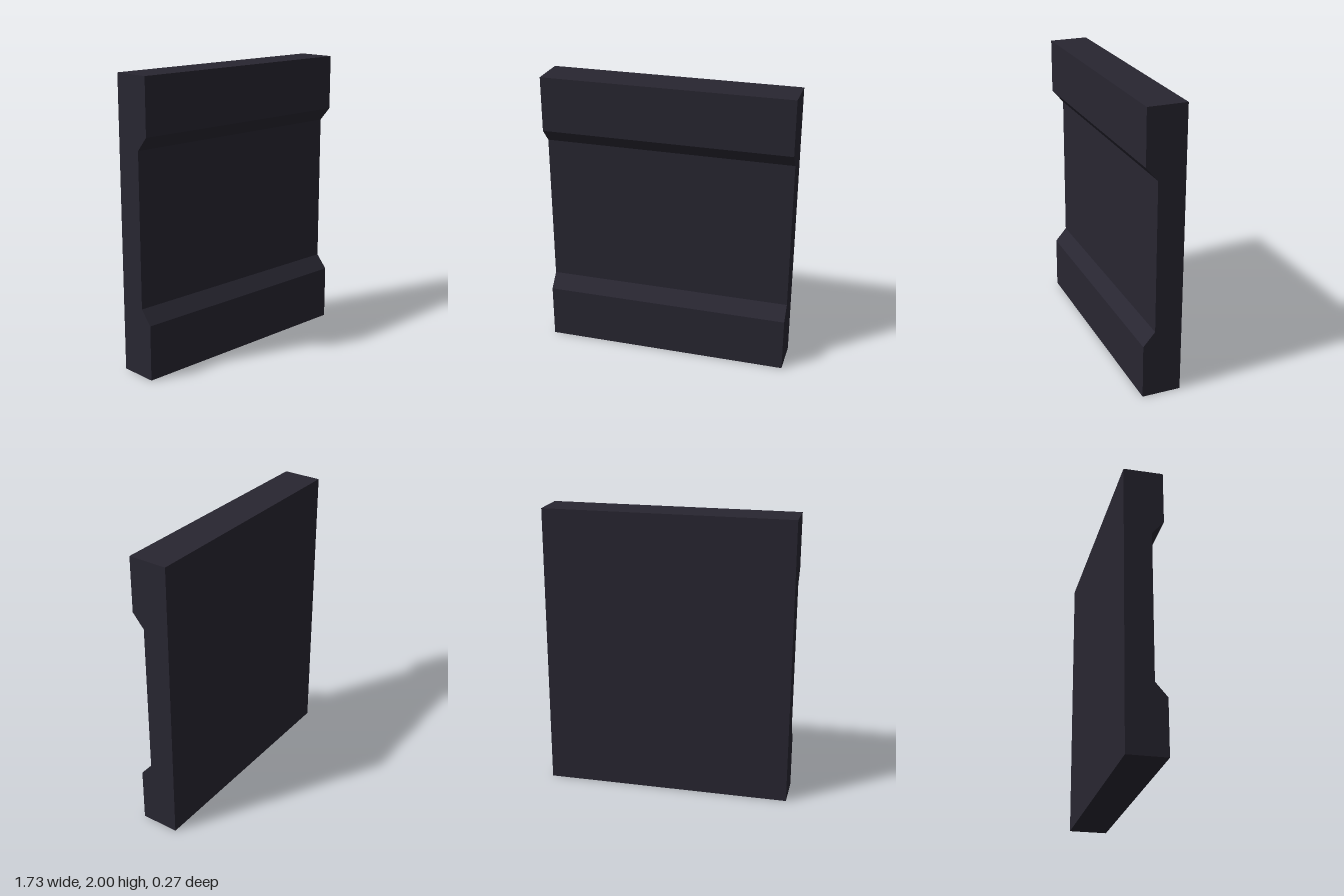
import * as THREE from 'three';

const WIDTH = 1.73;
const BACK = -0.135, FACE = 0.135, RECESS = 0.053;

export function createModel() {
  const group = new THREE.Group();
  group.name = 'recessedPanel';

  // Side profile (z, y): raised bands at top and bottom, bevelled into a recess
  const profile = new THREE.Shape([
    [BACK, 0], [FACE, 0], [FACE, 0.38], [RECESS, 0.475],
    [RECESS, 1.525], [FACE, 1.62], [FACE, 2], [BACK, 2],
  ].map(([z, y]) => new THREE.Vector2(z, y)));

  // Extrude across the width, then turn the profile to face +z
  const geometry = new THREE.ExtrudeGeometry(profile, { depth: WIDTH, bevelEnabled: false });
  geometry.translate(0, 0, -WIDTH / 2);
  geometry.rotateY(-Math.PI / 2);

  const material = new THREE.MeshStandardMaterial({ color: 0x282631 });
  const panel = new THREE.Mesh(geometry, material);
  panel.name = 'panel';
  group.add(panel);
  return group;
}
